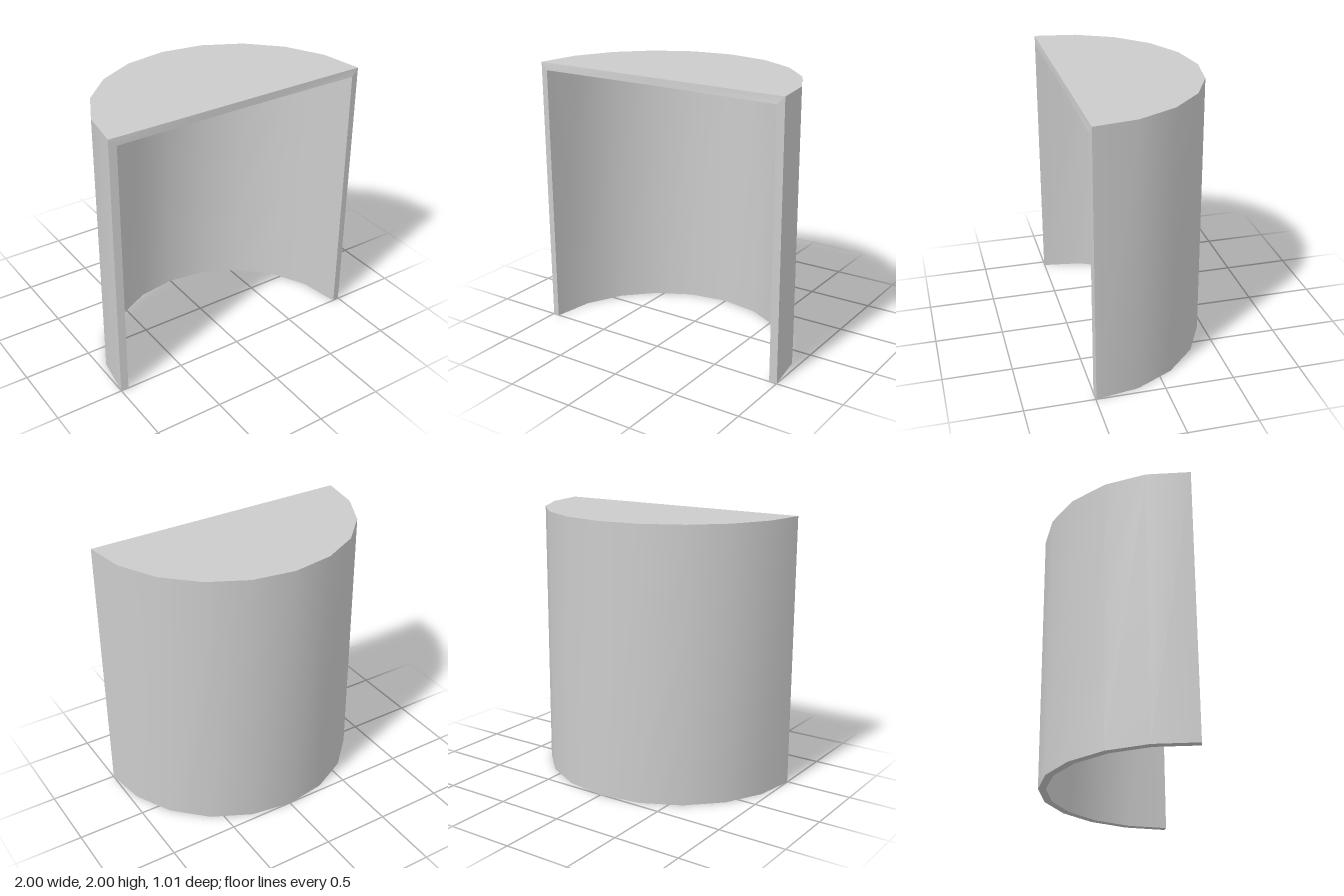
import * as THREE from 'three';

const SEGMENTS = 10;
const HEIGHT = 2;
const CEILING = 1.946;
const CENTRE_Z = 0.4955;
const INNER = 0.945;
const LIP = 0.009; // the inner ends stand slightly forward of the outer ones

// half-circle of points, from +x round the back to -x
function arc(radius, y, lip = 0) {
  return Array.from({ length: SEGMENTS + 1 }, (_, i) => {
    const a = (Math.PI * i) / SEGMENTS;
    const end = i === 0 || i === SEGMENTS;
    return [radius * Math.cos(a), y, CENTRE_Z - radius * Math.sin(a) + (end ? lip : 0)];
  });
}

// smooth surface between two rows of points
function strip(name, a, b) {
  const n = a.length;
  const index = [];
  for (let i = 0; i < n - 1; i++) {
    index.push(i, i + 1, n + i + 1, i, n + i + 1, n + i);
  }
  const geometry = new THREE.BufferGeometry();
  geometry.setAttribute('position', new THREE.Float32BufferAttribute([...a, ...b].flat(), 3));
  geometry.setIndex(index);
  geometry.computeVertexNormals();
  const mesh = new THREE.Mesh(geometry, new THREE.MeshStandardMaterial({ color: 0xcccccc }));
  mesh.name = name;
  return mesh;
}

export function createModel() {
  const group = new THREE.Group();
  group.name = 'halfRoundShell';

  const outerBottom = arc(1, 0);
  const outerTop = arc(1, HEIGHT);
  const innerBottom = arc(INNER, 0, LIP);
  const innerTop = arc(INNER, CEILING, LIP);
  const centre = (y) => outerTop.map(() => [0, y, CENTRE_Z]);
  const last = SEGMENTS;

  group.add(
    // curved wall and its lower rim
    strip('outerWall', outerBottom, outerTop),
    strip('innerWall', innerTop, innerBottom),
    strip('bottomRim', innerBottom, outerBottom),
    // half-disc roof
    strip('roofTop', outerTop, centre(HEIGHT)),
    strip('ceiling', centre(CEILING), innerTop),
    // front edges around the opening
    strip('leftFrontEdge', [innerBottom[0], outerBottom[0]], [innerTop[0], outerTop[0]]),
    strip('rightFrontEdge', [outerBottom[last], innerBottom[last]], [outerTop[last], innerTop[last]]),
    strip('roofFrontEdge',
      [innerTop[last], [0, CEILING, CENTRE_Z], innerTop[0]],
      [outerTop[last], [0, HEIGHT, CENTRE_Z], outerTop[0]]),
  );
  return group;
}
